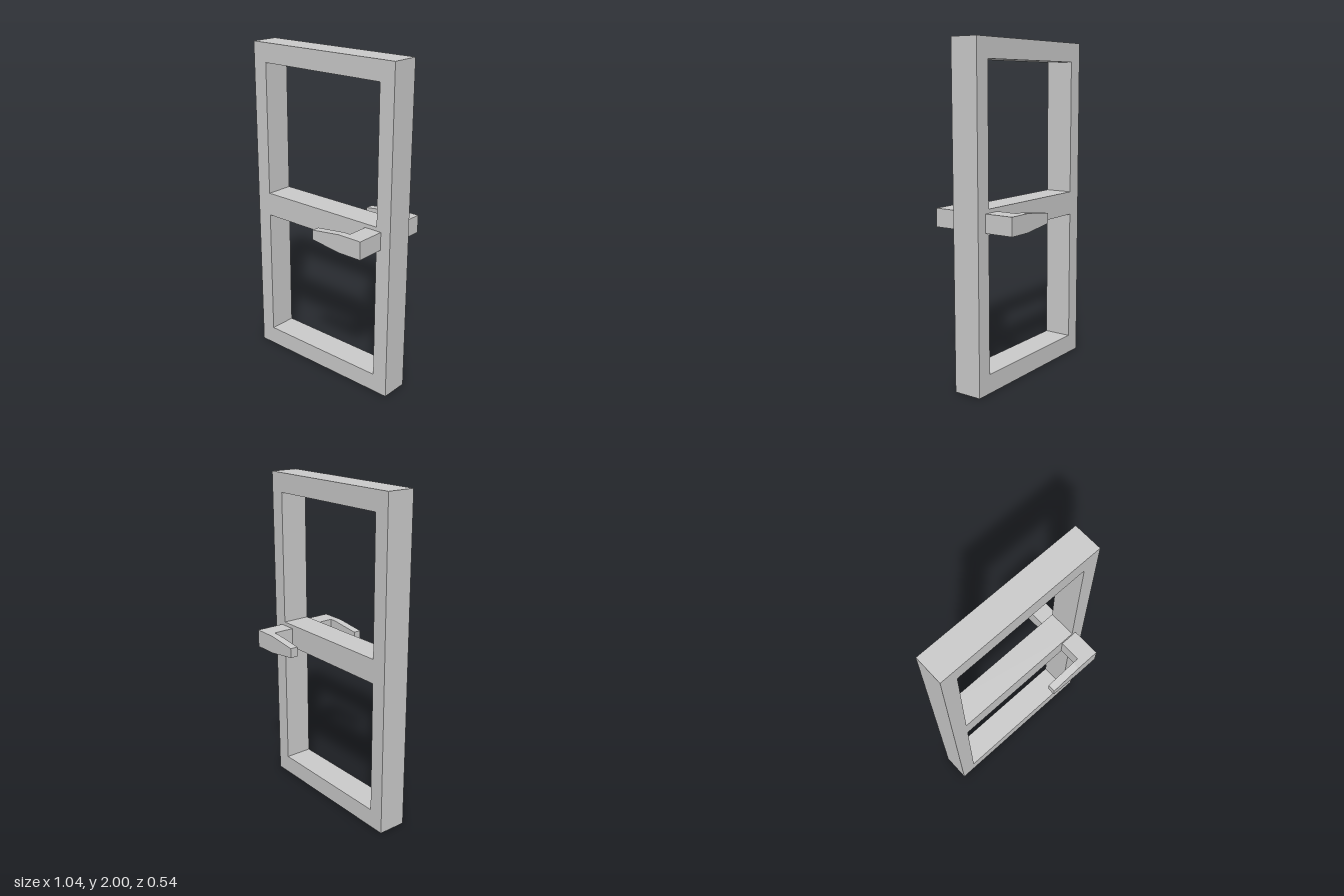
import * as THREE from 'three';

const material = new THREE.MeshStandardMaterial({ color: 0xcccccc, flatShading: true });

// Closed outline from [x, y] corners
const outline = (points) => new THREE.Shape(points.map(([x, y]) => new THREE.Vector2(x, y)));
const rect = (x0, y0, x1, y1) => outline([[x0, y0], [x1, y0], [x1, y1], [x0, y1]]);

// Flat plate: shape extruded from z0 to z1
function plate(name, shape, z0, z1) {
  const geometry = new THREE.ExtrudeGeometry(shape, { depth: z1 - z0, bevelEnabled: false });
  geometry.translate(0, 0, z0);
  const mesh = new THREE.Mesh(geometry, material);
  mesh.name = name;
  return mesh;
}

export function createModel() {
  const model = new THREE.Group();
  model.name = 'door';

  // Frame with two openings separated by a middle rail
  const halfDepth = 0.087;
  const frame = rect(-0.522, 0, 0.522, 2);
  for (const [bottom, top] of [[0.114, 0.924], [1.069, 1.883]]) {
    frame.holes.push(rect(-0.426, bottom, 0.426, top));
  }
  model.add(plate('doorFrame', frame, -halfDepth, halfDepth));

  // Handle on each face: a square stem and a tapering lever
  const stemShape = rect(0.345, 0.937, 0.457, 1.046);
  const leverShape = outline([
    [0.107, 0.962], [0.305, 0.937], [0.345, 0.937],
    [0.345, 1.046], [0.305, 1.046], [0.107, 1.021],
  ]);
  for (const [side, sign] of [['front', 1], ['back', -1]]) {
    const handle = new THREE.Group();
    handle.name = side + 'Handle';
    const span = (a, b) => (sign > 0 ? [a, b] : [-b, -a]);
    handle.add(plate(side + 'HandleStem', stemShape, ...span(halfDepth, 0.268)));
    handle.add(plate(side + 'HandleLever', leverShape, ...span(0.22, 0.268)));
    model.add(handle);
  }

  return model;
}
